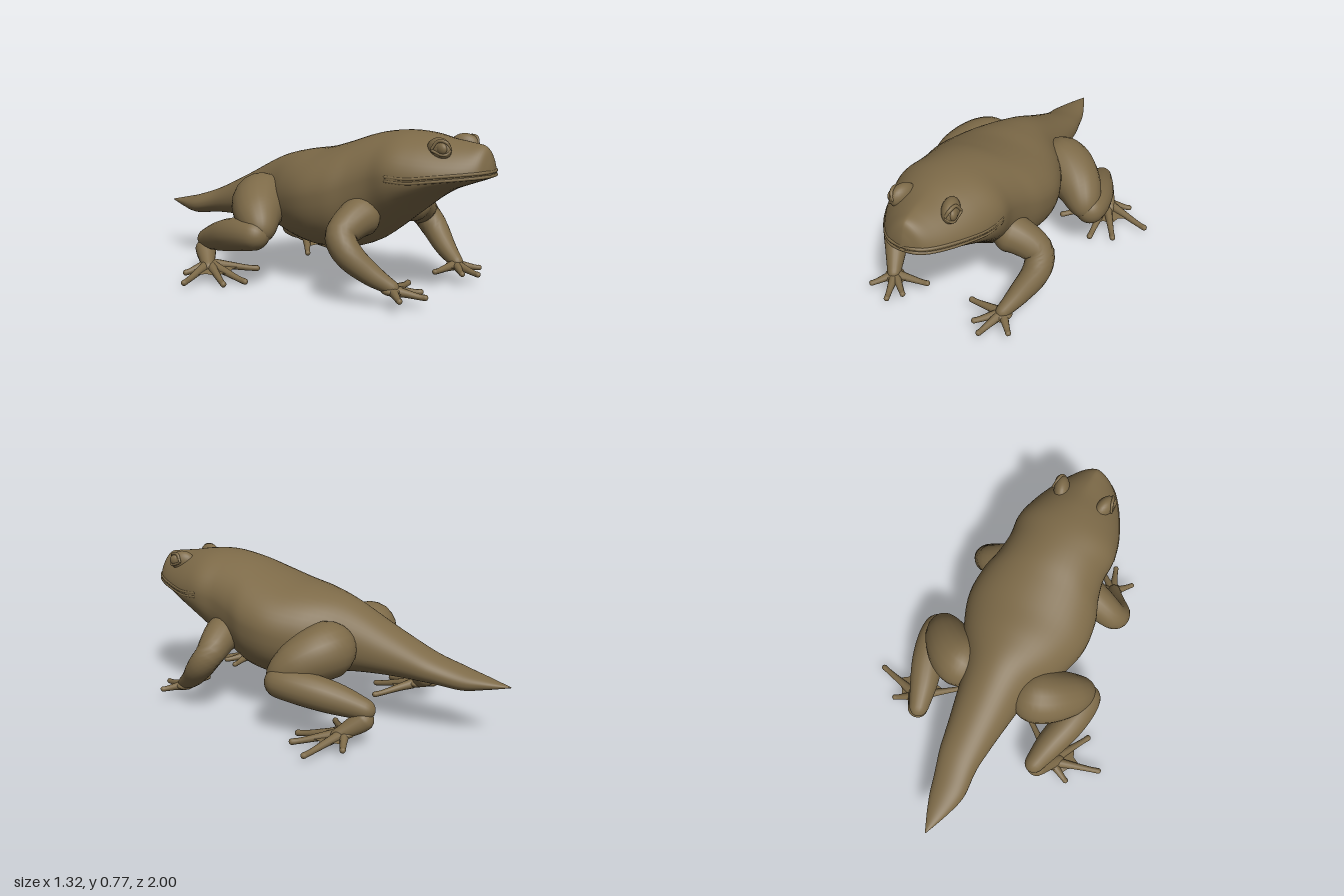
import * as THREE from 'three';

const skin = new THREE.MeshStandardMaterial({ color: 0x7d6a48, side: THREE.DoubleSide });
skin.name = 'olive brown skin';

// Skin a list of closed rings with smooth normals
function skinRings(rings) {
  const n = rings[0].length, idx = [];
  for (let i = 0; i < rings.length - 1; i++) {
    for (let j = 0; j < n; j++) {
      const a = i * n + j, b = a + n, c = i * n + (j + 1) % n, d = c + n;
      idx.push(a, b, c, c, b, d);
    }
  }
  const g = new THREE.BufferGeometry().setFromPoints(rings.flat());
  g.setIndex(idx);
  g.computeVertexNormals();
  return g;
}

// Smooth value through a list at fractional position t (0..1)
function sample(list, t) {
  const f = t * (list.length - 1), i = Math.min(Math.floor(f), list.length - 2), u = f - i;
  const at = k => list[Math.max(0, Math.min(list.length - 1, k))];
  const [a, b, c, d] = [at(i - 1), at(i), at(i + 1), at(i + 2)];
  return b + 0.5 * u * (c - a + u * (2 * a - 5 * b + 4 * c - d + u * (3 * (b - c) + d - a)));
}

// Round-ended limb through points [x, y, z, radius]
function limb(points, steps = 32, sides = 16) {
  const curve = new THREE.CatmullRomCurve3(points.map(p => new THREE.Vector3(p[0], p[1], p[2])));
  const radii = points.map(p => p[3]), up = new THREE.Vector3(0, 1, 0);
  const start = curve.getPoint(0), end = curve.getPoint(1), rings = [];
  for (let i = 0; i <= steps; i++) {
    const t = (1 - Math.cos(Math.PI * i / steps)) / 2;
    const c = curve.getPoint(t), T = curve.getTangent(t);
    const N = up.clone().cross(T).normalize(), B = T.clone().cross(N);
    let r = sample(radii, t);
    const d = Math.min(c.distanceTo(start), c.distanceTo(end)) / r;
    if (d < 1) r *= Math.sqrt(Math.max(1e-5, 1 - (1 - d) ** 2));
    const ring = [];
    for (let j = 0; j < sides; j++) {
      const a = j / sides * Math.PI * 2;
      ring.push(c.clone().addScaledVector(N, r * Math.cos(a)).addScaledVector(B, -r * Math.sin(a)));
    }
    rings.push(ring);
  }
  return skinRings(rings);
}

// Head, trunk and tail: [z, top, bottom, widest height, half width]
const sections = [
  [1, 0.62, 0.59, 0.607, 0.01],
  [0.99, 0.67, 0.584, 0.606, 0.05],
  [0.965, 0.722, 0.574, 0.604, 0.1],
  [0.9, 0.737, 0.55, 0.597, 0.155],
  [0.8, 0.75, 0.51, 0.586, 0.212],
  [0.7, 0.768, 0.45, 0.575, 0.252],
  [0.6, 0.775, 0.37, 0.58, 0.272],
  [0.5, 0.768, 0.29, 0.56, 0.266],
  [0.4, 0.748, 0.222, 0.52, 0.285],
  [0.29, 0.711, 0.185, 0.48, 0.322],
  [0.15, 0.67, 0.174, 0.45, 0.328],
  [0, 0.645, 0.198, 0.42, 0.28],
  [-0.17, 0.6, 0.236, 0.398, 0.19],
  [-0.4, 0.488, 0.252, 0.36, 0.14],
  [-0.62, 0.387, 0.248, 0.316, 0.105],
  [-0.77, 0.335, 0.232, 0.283, 0.086],
  [-0.88, 0.308, 0.25, 0.28, 0.052],
  [-1, 0.281, 0.277, 0.279, 0.002],
];

function bodyGeometry() {
  const columns = sections[0].map((_, k) => sections.map(s => s[k]));
  const steps = (sections.length - 1) * 6, sides = 48, rings = [];
  for (let i = 0; i <= steps; i++) {
    const [z, top, bottom, mid, w] = columns.map(c => sample(c, i / steps));
    // The tail tip sways sideways; the snout is more wedge-shaped than the trunk
    const sway = -0.022 * THREE.MathUtils.smoothstep(-z, 0.58, 0.78);
    const wedge = 2 - 0.5 * THREE.MathUtils.smoothstep(z, 0.6, 0.96);
    const ring = [];
    for (let j = 0; j < sides; j++) {
      const a = j / sides * Math.PI * 2, c = Math.cos(a), s = Math.sin(a);
      const e = 2 / (s >= 0 ? wedge : 2.25);
      ring.push(new THREE.Vector3(
        sway + w * Math.sign(c) * Math.abs(c) ** e,
        mid + (s >= 0 ? top - mid : bottom - mid) * Math.abs(s) ** e, z));
    }
    rings.push(ring);
  }
  return skinRings(rings);
}

// Lip tube along the widest line of the head, from corner to corner
function lip(lift, radius) {
  const half = sections.slice(1, 7).map(([z, , , y, w]) => [w - 0.005, y + lift, z, radius]);
  const mirrored = half.map(([x, ...rest]) => [-x, ...rest]);
  return limb([...half.reverse(), ...mirrored], 70, 8);
}

function add(group, name, geometry) {
  const mesh = new THREE.Mesh(geometry, skin);
  mesh.name = name;
  group.add(mesh);
  return mesh;
}

function ellipsoid(group, name, position, size, yaw = 0) {
  const mesh = add(group, name, new THREE.SphereGeometry(1, 24, 16));
  mesh.position.set(...position);
  mesh.scale.set(...size);
  mesh.rotation.y = yaw;
}

// Flat palm and splayed toes joined by webbing; web is the webbed share of each toe
function foot(group, name, s, root, tips, r, web) {
  const base = new THREE.Vector3(...root), webPoints = [];
  const ends = tips.map(t => new THREE.Vector3(...t));
  ellipsoid(group, name + 'Palm', root, [r * 3.2, r * 1.5, r * 3.2]);
  ends.forEach((tip, i) => {
    const at = (f, lift, radius) => {
      const p = base.clone().lerp(tip, f);
      return [p.x, p.y + lift, p.z, radius];
    };
    add(group, name + 'Toe', limb([at(0, 0, r * 1.8), at(0.4, 0, r * 1.25),
      at(0.8, -0.003, r * 0.9), at(1, 0, r)], 18, 10));
    if (i) {
      const a = base.clone().lerp(ends[i - 1], web), b = base.clone().lerp(tip, web);
      const m = a.clone().lerp(b, 0.5).lerp(base, 0.15);
      webPoints.push(base, a, m, base, m, b);
    }
  });
  const g = new THREE.BufferGeometry().setFromPoints(s > 0 ? webPoints : webPoints.reverse());
  g.computeVertexNormals();
  add(group, name + 'Web', g);
}

export function createModel() {
  const model = new THREE.Group();
  model.name = 'tailedFrog';
  add(model, 'body', bodyGeometry());
  add(model, 'upperLip', lip(0.007, 0.008));
  add(model, 'lowerLip', lip(-0.012, 0.008));

  for (const s of [1, -1]) {
    const side = new THREE.Group();
    side.name = s > 0 ? 'leftSide' : 'rightSide';
    model.add(side);
    const flip = points => points.map(([x, ...rest]) => [s * x, ...rest]);
    const tube = (name, points) => add(side, name, limb(flip(points), 36, 20));

    // Brow bulge, eye and lids
    ellipsoid(side, 'brow', [s * 0.12, 0.708, 0.795], [0.04, 0.054, 0.068], s * 0.3);
    ellipsoid(side, 'eye', [s * 0.146, 0.715, 0.82], [0.02, 0.03, 0.033], s * 0.35);
    tube('upperLid', [[0.128, 0.712, 0.86, 0.006], [0.143, 0.744, 0.842, 0.008],
      [0.151, 0.747, 0.805, 0.008], [0.164, 0.708, 0.777, 0.006]]);
    tube('lowerLid', [[0.128, 0.712, 0.86, 0.006], [0.154, 0.689, 0.842, 0.007],
      [0.164, 0.708, 0.777, 0.006]]);

    // Front leg
    tube('frontLeg', [[0.15, 0.4, 0.47, 0.11], [0.27, 0.373, 0.45, 0.09], [0.372, 0.308, 0.445, 0.073],
      [0.383, 0.24, 0.495, 0.067], [0.34, 0.155, 0.585, 0.052], [0.285, 0.08, 0.7, 0.03]]);
    foot(side, 'front', s, [s * 0.295, 0.083, 0.67],
      flip([[0.38, 0.067, 0.77], [0.245, 0.065, 0.83], [0.185, 0.07, 0.77], [0.11, 0.08, 0.65]]), 0.015, 0.5);

    // Hind leg
    tube('thigh', [[0.08, 0.39, -0.18, 0.12], [0.22, 0.39, -0.155, 0.142],
      [0.345, 0.345, -0.07, 0.118], [0.44, 0.26, 0.04, 0.065]]);
    tube('shin', [[0.43, 0.27, 0.055, 0.07], [0.432, 0.265, -0.06, 0.079], [0.408, 0.245, -0.18, 0.082],
      [0.368, 0.212, -0.31, 0.073], [0.325, 0.165, -0.475, 0.045]]);
    tube('hindAnkle', [[0.325, 0.165, -0.455, 0.045], [0.355, 0.125, -0.42, 0.052],
      [0.45, 0.05, -0.31, 0.026]]);
    foot(side, 'hind', s, [s * 0.4, 0.07, -0.355],
      flip([[0.525, 0.035, -0.415], [0.66, 0.033, -0.28], [0.53, 0.022, -0.13],
        [0.41, 0.017, -0.09], [0.2, 0.03, -0.19]]), 0.016, 0.6);
  }
  return model;
}
